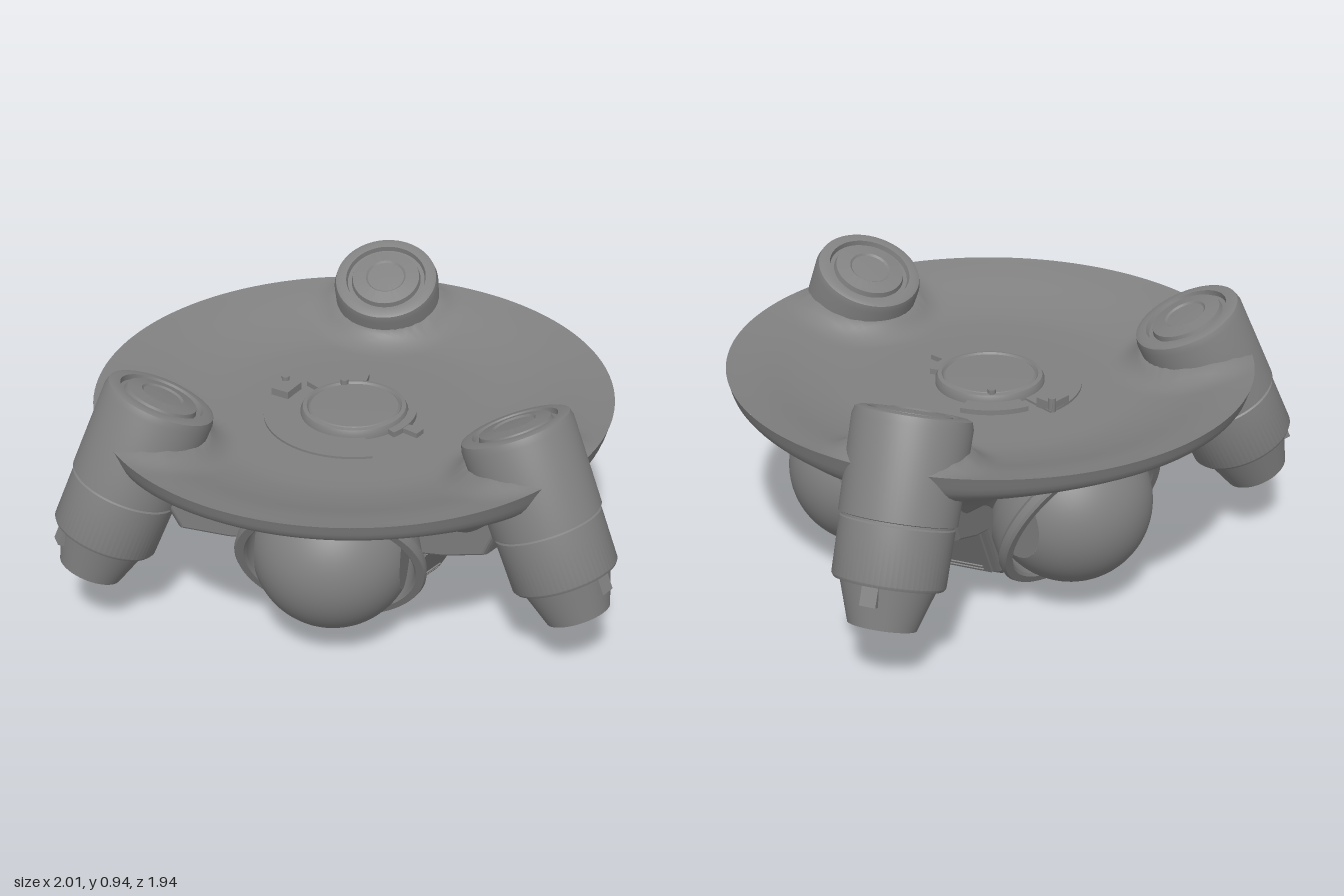
import * as THREE from 'three';
import { toCreasedNormals } from 'three/addons/utils/BufferGeometryUtils.js';

const hull = new THREE.MeshStandardMaterial({ color: 0x808080 });
hull.name = 'hull grey';
const amber = new THREE.MeshStandardMaterial({ color: 0xe08a00 });
amber.name = 'amber';

const TILT = THREE.MathUtils.degToRad(25);
const vec = (pts) => pts.map(([x, y]) => new THREE.Vector2(x, y));
const crease = (geo, angle = 0.6) => toCreasedNormals(geo, angle);
const lathe = (pts, seg = 64) => crease(new THREE.LatheGeometry(vec(pts), seg));

function add(parent, name, geo, pos = [0, 0, 0], mat = hull) {
  const mesh = new THREE.Mesh(geo, mat);
  mesh.name = name;
  mesh.position.set(...pos);
  parent.add(mesh);
  return mesh;
}

function group(parent, name, pos = [0, 0, 0]) {
  const g = new THREE.Group();
  g.name = name;
  g.position.set(...pos);
  parent.add(g);
  return g;
}

// Smooth profile through a few points
function smooth(pts, n) {
  const curve = new THREE.CatmullRomCurve3(pts.map(([x, y]) => new THREE.Vector3(x, y, 0)), false, 'centripetal');
  return curve.getPoints(n).map((p) => new THREE.Vector2(Math.max(p.x, 0), p.y));
}

// Flat ring segment lying in the ground plane, angles in degrees
function sector(inner, outer, from, to, height) {
  const a = THREE.MathUtils.degToRad(from), b = THREE.MathUtils.degToRad(to);
  const s = new THREE.Shape();
  s.absarc(0, 0, outer, a, b, false);
  s.absarc(0, 0, inner, b, a, true);
  const geo = new THREE.ExtrudeGeometry(s, { depth: height, bevelEnabled: false, curveSegments: 32 });
  return geo.rotateX(-Math.PI / 2);
}

// Underside: a lathe whose profile swells towards the three pods
function undersideGeometry() {
  const a = smooth([[0, 0.045], [0.2, 0.045], [0.25, 0.1], [0.33, 0.35], [0.46, 0.57], [0.6, 0.63], [0.74, 0.65], [0.885, 0.7], [0.91, 0.762]], 32);
  const b = smooth([[0, 0.045], [0.23, 0.045], [0.29, 0.12], [0.42, 0.33], [0.55, 0.4], [0.65, 0.45], [0.76, 0.58], [0.875, 0.67], [0.91, 0.762]], 32);
  const geo = new THREE.LatheGeometry(a, 120);
  const pos = geo.attributes.position;
  for (let i = 0; i < pos.count; i++) {
    const j = i % a.length;
    const theta = Math.atan2(pos.getZ(i), pos.getX(i));
    const w = ((1 + Math.cos(3 * theta)) / 2) ** 2;
    const r = a[j].x + (b[j].x - a[j].x) * w;
    pos.setXYZ(i, r * Math.cos(theta), a[j].y + (b[j].y - a[j].y) * w, r * Math.sin(theta));
  }
  return crease(geo, 0.7);
}

// Dished top that rises in a soft fillet around each pod
function saucerTopGeometry() {
  const profile = smooth([[0.91, 0.762], [0.8, 0.737], [0.66, 0.695], [0.55, 0.672], [0.47, 0.666], [0.25, 0.665], [0, 0.665]], 48);
  const geo = new THREE.LatheGeometry(profile, 144);
  const pos = geo.attributes.position;
  for (let i = 0; i < pos.count; i++) {
    const x = pos.getX(i), z = pos.getZ(i);
    const mask = 1 - (Math.hypot(x, z) / 0.91) ** 10;
    for (let k = 0; k < 3; k++) {
      const t = k * Math.PI * 2 / 3;
      const d = Math.hypot(x - 0.74 * Math.cos(t), z - 0.74 * Math.sin(t));
      const rise = THREE.MathUtils.clamp((0.3 - d) / 0.1, 0, 1);
      pos.setY(i, pos.getY(i) + 0.05 * rise * rise * mask);
    }
  }
  return crease(geo, 0.9);
}

// Tilted pod with its pylon; radial direction is +x
function addPod(parent) {
  const pylon = new THREE.Shape(vec([[0, 0.06], [0.23, 0.06], [0.275, 0.09], [0.41, 0.325], [0.52, 0.36], [0.68, 0.43], [0.76, 0.61], [0, 0.61]]));
  const pylonGeo = new THREE.ExtrudeGeometry(pylon, { depth: 0.24, bevelSize: 0.012, bevelThickness: 0.03, bevelSegments: 3 });
  add(parent, 'pylon', pylonGeo, [0, 0, -0.12]);

  // Access panel with two ridges on the sloping face of the pylon
  const panel = group(parent, 'accessPanel', [0.352, 0.2, 0]);
  panel.rotation.z = -0.52;
  add(panel, 'panelPlate', new THREE.BoxGeometry(0.024, 0.25, 0.24));
  for (const y of [-0.11, -0.09]) add(panel, 'panelRidge', new THREE.BoxGeometry(0.01, 0.008, 0.19), [0.012, y, 0]);

  const pod = group(parent, 'pod', [0.692, 0.867, 0]);
  pod.rotation.z = TILT;
  add(pod, 'podShell', lathe([
    [0, -0.63], [0.095, -0.63], [0.1, -0.69], [0.112, -0.69], [0.158, -0.55], [0.178, -0.55], [0.185, -0.54],
    [0.187, -0.355], [0.182, -0.35], [0.182, -0.343], [0.193, -0.34], [0.196, -0.03], [0.189, -0.006], [0.175, 0],
    [0.15, 0], [0.145, -0.018], [0.13, -0.018], [0.125, 0], [0.075, 0.008], [0.068, 0.002], [0, 0.004],
  ]));
  add(pod, 'nozzleVane', new THREE.BoxGeometry(0.19, 0.05, 0.014), [0, -0.66, 0]);
  add(pod, 'nozzleTab', new THREE.BoxGeometry(0.03, 0.075, 0.055), [0.143, -0.578, 0]);
}

// Ball turret in a downward-tilted collar; radial direction is +x
function addTurret(parent) {
  const R = 0.28, flat = 0.25;
  const turret = group(parent, 'turret', [0.43, 0.38, 0]);
  turret.rotation.z = -TILT;
  const cut = Math.acos(flat / R);
  const ball = new THREE.SphereGeometry(R, 64, 40, 0, Math.PI * 2, cut, Math.PI - 2 * cut);
  add(turret, 'ball', ball.rotateX(Math.PI / 2));
  // Flat pivot faces on both sides of the ball
  for (const side of [1, -1]) {
    const disc = add(turret, 'pivotFace', new THREE.CircleGeometry(Math.sqrt(R * R - flat * flat), 40), [0, 0, side * flat]);
    if (side < 0) disc.rotation.y = Math.PI;
  }
  const collar = lathe([
    [0.2, -0.14], [0.235, -0.13], [0.295, -0.045], [0.312, 0.01], [0.318, 0.03], [0.312, 0.034], [0.312, 0.04], [0.33, 0.044],
    [0.332, 0.068], [0.325, 0.078], [0.298, 0.078], [0.29, 0.068], [0.285, -0.05],
  ], 80);
  add(turret, 'collar', collar.rotateZ(-Math.PI / 2));

  // Small port under the saucer, outboard of the turret
  const port = add(parent, 'port', new THREE.TorusGeometry(0.035, 0.012, 12, 32), [0.72, 0.645, 0]);
  port.rotation.x = Math.PI / 2;
  add(parent, 'portLens', new THREE.SphereGeometry(0.022, 20, 12), [0.72, 0.643, 0]);
}

export function createModel() {
  const model = new THREE.Group();
  model.name = 'dropCraft';
  const craft = group(model, 'craft', [-0.09, 0, 0]);

  // Saucer
  add(craft, 'underside', undersideGeometry());
  add(craft, 'saucerTop', saucerTopGeometry());

  // Hatch and plates in the middle of the saucer
  const deck = group(craft, 'deck', [0, 0.663, 0]);
  add(deck, 'hatch', lathe([[0.19, -0.005], [0.19, 0.02], [0.182, 0.035], [0.168, 0.038], [0.162, 0.03], [0.155, 0.035], [0, 0.038]]));
  add(deck, 'hatchPlate', sector(0.18, 0.32, 180, 321, 0.01));
  add(deck, 'hatchArc', sector(0.2, 0.265, 118, 170, 0.02));
  add(deck, 'hatchLatch', sector(0.17, 0.28, 0, 9, 0.02));
  add(deck, 'hatchStep', sector(0.17, 0.22, -12, 34, 0.022));
  add(deck, 'hatchBox', new THREE.BoxGeometry(0.07, 0.04, 0.09), [-0.28, 0.017, 0.045]).rotation.y = 0.15;
  for (const [x, z] of [[-0.31, 0.015], [-0.13, -0.1]]) {
    add(deck, 'hatchPin', new THREE.CylinderGeometry(0.014, 0.014, 0.05, 16), [x, 0.027, z]);
  }

  // Three pods alternating with three turrets
  for (let k = 0; k < 3; k++) {
    const podArm = group(craft, 'podArm');
    podArm.rotation.y = k * Math.PI * 2 / 3;
    addPod(podArm);
    const turretArm = group(craft, 'turretArm');
    turretArm.rotation.y = (k + 0.5) * Math.PI * 2 / 3;
    addTurret(turretArm);
  }

  // Belly lamp
  add(craft, 'lampRing', lathe([[0.055, 0.012], [0.075, 0.01], [0.095, 0.03], [0.095, 0.05]], 48), [0, 0, 0], amber);
  add(craft, 'lampLens', lathe([[0, 0.018], [0.04, 0.018], [0.045, 0], [0.07, 0], [0.074, 0.012]], 48));
  return model;
}
